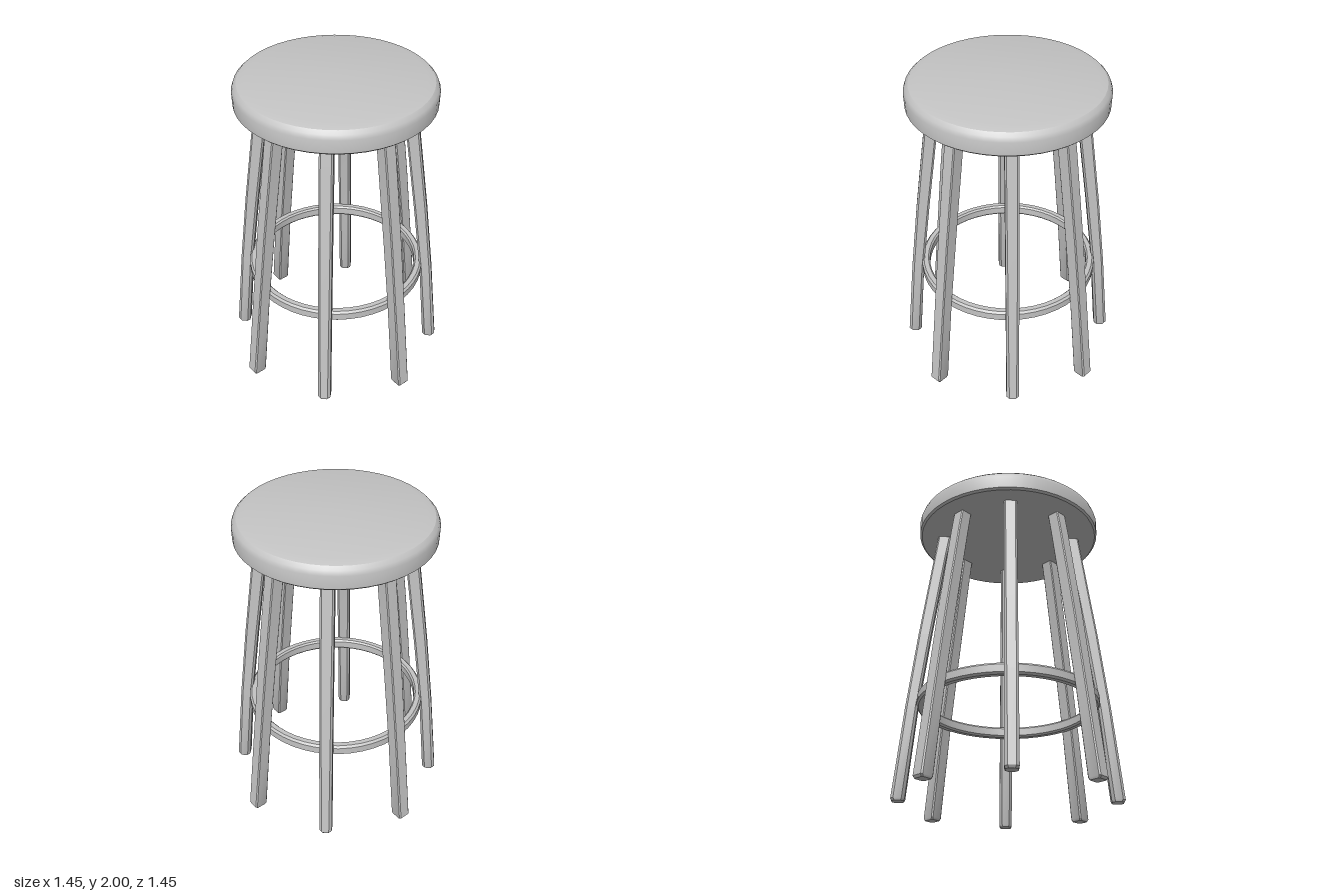
import * as THREE from 'three';
import { toCreasedNormals } from 'three/addons/utils/BufferGeometryUtils.js';

const lathe = (pts, segments) => toCreasedNormals(
  new THREE.LatheGeometry(pts.map(([r, y]) => new THREE.Vector2(r, y)), segments), 0.5);

// Chamfered, splayed leg. Sections: [y, inner radius, outer radius, half width, chamfer]
function legGeometry(sections) {
  const pos = [], index = [];
  for (const [y, a, b, w, c] of sections) {
    const ring = [[a, w - c], [a + c, w], [b - c, w], [b, w - c],
      [b, c - w], [b - c, -w], [a + c, -w], [a, c - w]];
    for (const [x, z] of ring) pos.push(x, y, z);
  }
  const n = 8, last = (sections.length - 1) * n;
  for (let s = 0; s < sections.length - 1; s++) {
    for (let i = 0; i < n; i++) {
      const p = s * n + i, q = s * n + (i + 1) % n;
      index.push(p, q, q + n, p, q + n, p + n);
    }
  }
  // End caps
  for (let i = 1; i < n - 1; i++) {
    index.push(0, i + 1, i, last, last + i, last + i + 1);
  }
  const g = new THREE.BufferGeometry();
  g.setAttribute('position', new THREE.Float32BufferAttribute(pos, 3));
  g.setIndex(index);
  return toCreasedNormals(g, 0.4);
}

export function createModel() {
  const group = new THREE.Group();
  group.name = 'stool';
  const grey = new THREE.MeshStandardMaterial({ color: 0xc4c4c4 });
  grey.name = 'plain grey';

  const add = (name, geometry) => {
    const mesh = new THREE.Mesh(geometry, grey);
    mesh.name = name;
    group.add(mesh);
    return mesh;
  };

  // Round seat with a softened upper rim
  add('seat', lathe([[0, 1.845], [0.595, 1.845], [0.608, 1.857], [0.61, 1.94],
    [0.6, 1.968], [0.58, 1.987], [0.53, 2], [0, 2]], 48));

  // Foot ring just inside the legs
  add('footRing', lathe([[0.535, 0.595], [0.565, 0.595], [0.577, 0.607], [0.577, 0.653],
    [0.565, 0.667], [0.535, 0.667], [0.525, 0.655], [0.525, 0.607], [0.535, 0.595]], 48));

  // Eight legs: square ones on the axes, softer ones on the diagonals
  const straight = legGeometry([
    [0, 0.645, 0.718, 0.035, 0.008], [0.015, 0.637, 0.727, 0.041, 0.008],
    [0.6, 0.573, 0.652, 0.041, 0.006], [1.1, 0.506, 0.588, 0.041, 0.006],
    [1.7, 0.42, 0.502, 0.041, 0.006], [1.86, 0.395, 0.476, 0.041, 0.006]]);
  const diagonal = legGeometry([
    [0, 0.625, 0.698, 0.036, 0.018], [0.015, 0.62, 0.706, 0.041, 0.018],
    [0.6, 0.567, 0.646, 0.041, 0.014], [1.1, 0.503, 0.585, 0.041, 0.012],
    [1.7, 0.42, 0.502, 0.041, 0.01], [1.86, 0.395, 0.48, 0.041, 0.01]]);
  for (let i = 0; i < 8; i++) {
    add('leg' + (i + 1), i % 2 ? diagonal : straight).rotation.y = i * Math.PI / 4;
  }
  return group;
}
